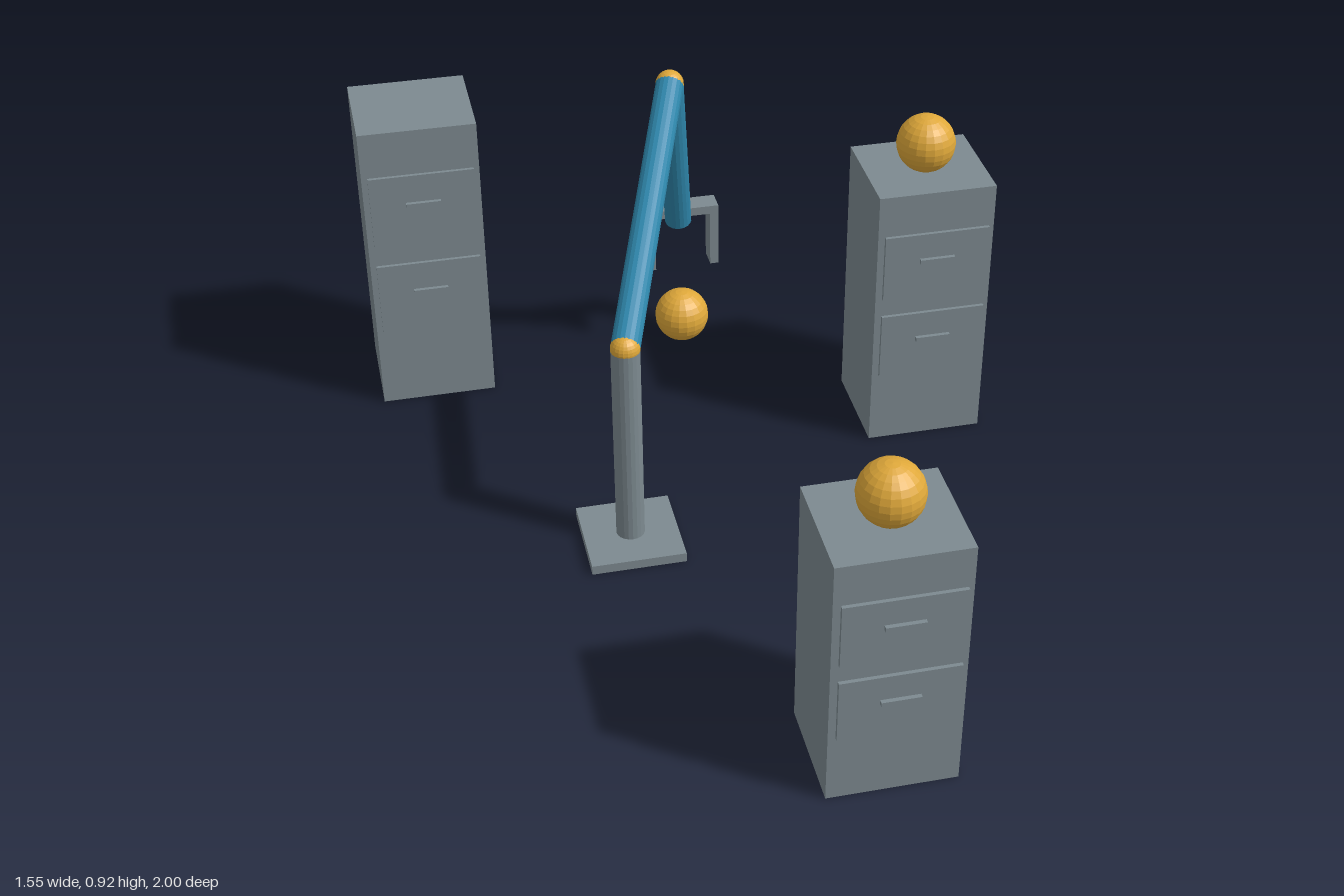
import * as THREE from 'three';

export function createModel() {
  const grey = new THREE.MeshStandardMaterial({ color: 0x7d8a90 });
  grey.name = 'steel grey';
  const blue = new THREE.MeshStandardMaterial({ color: 0x2e86ab });
  blue.name = 'arm blue';
  const gold = new THREE.MeshStandardMaterial({ color: 0xdfa83a });
  gold.name = 'gold';
  for (const m of [grey, blue, gold]) m.flatShading = true;

  const model = new THREE.Group();
  model.name = 'robotArmScene';

  function add(parent, name, geometry, material, x, y, z) {
    const mesh = new THREE.Mesh(geometry, material);
    mesh.name = name;
    mesh.position.set(x, y, z);
    parent.add(mesh);
    return mesh;
  }
  const box = (parent, name, w, h, d, x, y, z) =>
    add(parent, name, new THREE.BoxGeometry(w, h, d), grey, x, y, z);
  const ball = (parent, name, r, x, y, z) =>
    add(parent, name, new THREE.SphereGeometry(r, 20, 14), gold, x, y, z);

  // Straight round bar between two points
  function bar(parent, name, a, b, r, material) {
    const dir = b.clone().sub(a);
    const mid = a.clone().add(b).multiplyScalar(0.5);
    const mesh = add(parent, name, new THREE.CylinderGeometry(r, r, dir.length(), 20),
      material, mid.x, mid.y, mid.z);
    mesh.quaternion.setFromUnitVectors(new THREE.Vector3(0, 1, 0), dir.normalize());
  }

  // Two-drawer cabinet; z is the middle of its full depth, handles included
  function cabinet(x, z, h) {
    const g = new THREE.Group();
    g.name = 'cabinet';
    g.position.set(x, 0, z);
    box(g, 'cabinetBody', 0.303, h, 0.274, 0, h / 2, -0.0145);
    for (const level of [0.727, 0.407]) {
      box(g, 'drawerFront', 0.272, 0.25 * h, 0.009, 0, level * h, 0.1335);
      box(g, 'drawerHandle', 0.09, 0.017 * h, 0.01, 0, (level + 0.025) * h, 0.1465);
    }
    model.add(g);
  }
  cabinet(-0.622, -0.8485, 0.82);
  cabinet(0.62, -0.397, 0.735);
  cabinet(0.167, 0.8485, 0.65);

  // Balls on two cabinets and on the floor under the gripper
  const r = 0.075;
  ball(model, 'cabinetBall', r, 0.62, 0.735 + r, -0.397);
  ball(model, 'cabinetBall', r, 0.167, 0.65 + r, 0.8485);
  ball(model, 'floorBall', r, 0.084, r, -0.862);

  // Jointed arm on its stand
  const arm = new THREE.Group();
  arm.name = 'robotArm';
  model.add(arm);
  const foot = new THREE.Vector3(-0.229, 0.025, 0);
  const shoulder = new THREE.Vector3(-0.229, 0.575, 0);
  const elbow = new THREE.Vector3(0.028, 0.885, -0.708);
  const wrist = new THREE.Vector3(0.07, 0.407, -0.827);
  box(arm, 'basePlate', 0.237, 0.025, 0.237, -0.229, 0.0125, 0);
  bar(arm, 'column', foot, shoulder, 0.036, grey);
  bar(arm, 'upperArm', shoulder, elbow, 0.036, blue);
  bar(arm, 'forearm', elbow, wrist, 0.036, blue);
  ball(arm, 'shoulderJoint', 0.0365, ...shoulder.toArray());
  ball(arm, 'elbowJoint', 0.0365, ...elbow.toArray());

  // Gripper: palm with two fingers
  const gripper = new THREE.Group();
  gripper.name = 'gripper';
  gripper.position.set(0.084, 0, -0.862);
  arm.add(gripper);
  box(gripper, 'palm', 0.199, 0.024, 0.058, 0, 0.422, 0);
  for (const side of [-1, 1])
    box(gripper, 'finger', 0.023, 0.16, 0.058, side * 0.088, 0.33, 0);

  return model;
}
